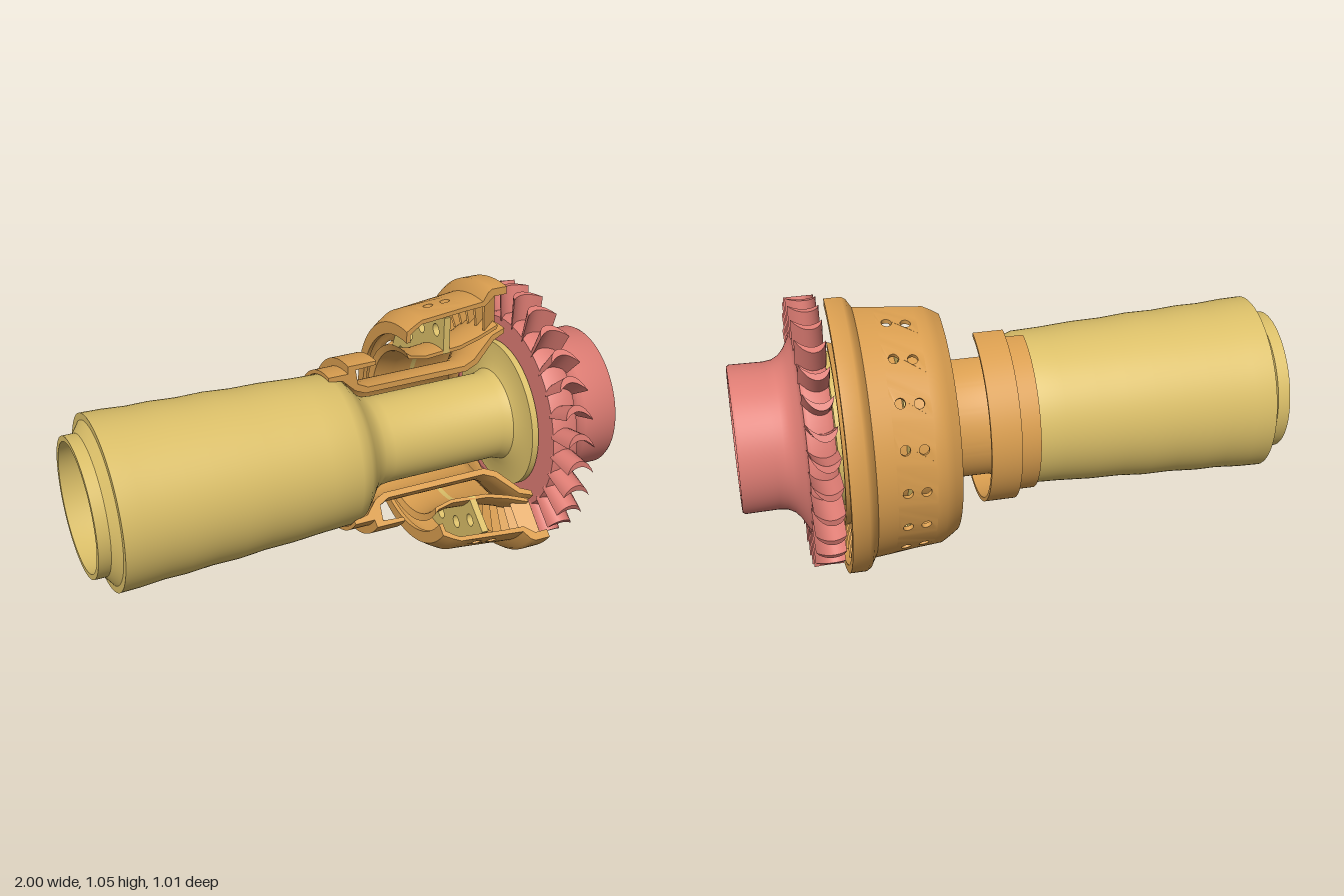
import * as THREE from 'three';
import { mergeGeometries, toCreasedNormals } from 'three/addons/utils/BufferGeometryUtils.js';

const rad = THREE.MathUtils.degToRad;
const ARC = 234; // cutaway shells run from the top, round the back, to low on the front

const material = (name, color) => {
  const m = new THREE.MeshStandardMaterial({ color, side: THREE.DoubleSide });
  m.name = name;
  return m;
};

// Revolve a closed [x, radius] outline about the x axis
function revolve(outline, arc = 360, segments = 96) {
  const points = [...outline, outline[0]].map(([x, r]) => new THREE.Vector2(r, x));
  const body = new THREE.LatheGeometry(points, segments, rad(arc === 360 ? 0 : 270 - arc), rad(arc));
  body.rotateZ(-Math.PI / 2);
  const parts = [body.toNonIndexed()];
  if (arc < 360) {
    // flat faces where the shell is cut open
    const shape = new THREE.Shape(outline.map(([x, r]) => new THREE.Vector2(x, r)));
    for (const a of [0, -arc]) {
      parts.push(new THREE.ShapeGeometry(shape).rotateX(rad(a)).toNonIndexed());
    }
  }
  return toCreasedNormals(mergeGeometries(parts), 0.6);
}

const circle = (x, y, r) => new THREE.Path().absarc(x, y, r, 0, Math.PI * 2, true);

export function createModel() {
  const yellow = material('yellow', 0xdcc069);
  const orange = material('orange', 0xdb9f50);
  const red = material('red', 0xdf7d74);
  const model = new THREE.Group();
  model.name = 'turbineEngine';
  const engine = new THREE.Group();
  engine.name = 'engine';
  engine.position.set(0, 0.53, 0.02);
  model.add(engine);

  const add = (name, geometry, mat, parent = engine) => {
    const mesh = new THREE.Mesh(geometry, mat);
    mesh.name = name;
    parent.add(mesh);
    return mesh;
  };

  // Hollow intake barrel narrowing into the central shaft and its rear flange
  add('barrelAndShaft', revolve([
    [-1, 0.255], [-0.955, 0.255], [-0.925, 0.295], [-0.925, 0.32], [-0.85, 0.318],
    [-0.76, 0.311], [-0.68, 0.311], [-0.58, 0.304], [-0.48, 0.304], [-0.38, 0.296],
    [-0.27, 0.294], [-0.15, 0.286], [-0.04, 0.282], [0, 0.268], [0.03, 0.235],
    [0.065, 0.19], [0.1, 0.168], [0.14, 0.163], [0.58, 0.163], [0.615, 0.175],
    [0.63, 0.21], [0.635, 0.28], [0.66, 0.28], [0.66, 0.163], [0.8, 0.163],
    [0.8, 0.15], [0.77, 0.127], [0.1, 0.127], [0.02, 0.17], [-0.05, 0.23],
    [-0.9, 0.245], [-1, 0.235],
  ]), yellow);

  // Inner liner: front collar, slim tube and flared rear end
  add('innerLiner', revolve([
    [-0.055, 0.3], [0.02, 0.3], [0.02, 0.33], [0.13, 0.33], [0.13, 0.315],
    [0.05, 0.31], [0.06, 0.25], [0.1, 0.23], [0.49, 0.23], [0.53, 0.25],
    [0.6, 0.335], [0.65, 0.355], [0.65, 0.335], [0.61, 0.315], [0.545, 0.23],
    [0.5, 0.207], [0.09, 0.207], [0.05, 0.225], [0, 0.275], [-0.055, 0.285],
  ], ARC), orange);

  // Outer casing: curled front lip, perforated band, stepped rear rim
  const casing = new THREE.Group();
  casing.name = 'outerCasing';
  engine.add(casing);
  add('casingLip', revolve([
    [0.25, 0.375], [0.25, 0.42], [0.28, 0.44], [0.31, 0.457], [0.345, 0.46],
    [0.345, 0.443], [0.31, 0.44], [0.285, 0.422], [0.265, 0.405], [0.265, 0.375],
  ], ARC), orange, casing);
  add('casingRim', revolve([
    [0.485, 0.474], [0.555, 0.481], [0.575, 0.515], [0.59, 0.525], [0.65, 0.525],
    [0.65, 0.495], [0.6, 0.495], [0.565, 0.462], [0.485, 0.457],
  ], ARC), orange, casing);

  // Perforated band, bent from flat cells with two holes each
  const cells = 12, step = ARC / cells, cellWidth = rad(step) * 0.46;
  const band = [];
  for (let i = 0; i < cells; i++) {
    const u0 = -(i + 1) * cellWidth;
    const outline = [];
    for (let j = 0; j <= 8; j++) outline.push(new THREE.Vector2(u0 + cellWidth * j / 8, 0.345));
    for (let j = 8; j >= 0; j--) outline.push(new THREE.Vector2(u0 + cellWidth * j / 8, 0.485));
    const shape = new THREE.Shape(outline);
    const mid = u0 + cellWidth * 0.33;
    shape.holes.push(circle(mid, 0.385, 0.018), circle(mid + 0.006, 0.45, 0.018));
    const cell = new THREE.ExtrudeGeometry(shape, { depth: 0.017, bevelEnabled: false, curveSegments: 10 });
    const p = cell.attributes.position;
    for (let k = 0; k < p.count; k++) {
      const a = p.getX(k) / 0.46, x = p.getY(k);
      const r = 0.443 + (x - 0.345) * 0.1 + p.getZ(k);
      p.setXYZ(k, x, r * Math.cos(a), r * Math.sin(a));
    }
    band.push(cell);
  }
  add('perforatedBand', toCreasedNormals(mergeGeometries(band), 0.6), orange, casing);

  // Inner wall of the burner
  add('burnerInnerWall', revolve([
    [0.25, 0.335], [0.27, 0.32], [0.33, 0.308], [0.47, 0.32], [0.55, 0.345],
    [0.62, 0.375], [0.62, 0.36], [0.55, 0.33], [0.47, 0.305], [0.33, 0.294], [0.26, 0.31],
  ], ARC), orange);

  // Burner plate with a ring of ports
  const plate = new THREE.Shape();
  plate.absarc(0, 0, 0.445, rad(90 - ARC), rad(90), false);
  plate.absarc(0, 0, 0.3, rad(90), rad(90 - ARC), true);
  for (let i = 0; i < cells; i++) {
    const a = rad(90 - (i + 0.5) * step);
    plate.holes.push(circle(0.375 * Math.cos(a), 0.375 * Math.sin(a), 0.024));
  }
  const plateGeo = new THREE.ExtrudeGeometry(plate, { depth: 0.025, bevelEnabled: false, curveSegments: 48 });
  add('burnerPlate', plateGeo.rotateY(Math.PI / 2).translate(0.4, 0, 0), yellow);

  // Guide vanes ahead of the rotor
  const vanes = new THREE.Group();
  vanes.name = 'guideVanes';
  engine.add(vanes);
  const vaneGeo = new THREE.BoxGeometry(0.07, 0.14, 0.008).rotateY(0.5).translate(0.6, 0.425, 0);
  for (let i = 0; i < 24; i++) {
    add('guideVane', vaneGeo, orange, vanes).rotation.x = -rad((i + 0.5) * ARC / 24);
  }

  // Rotor hub flowing into the exhaust nozzle
  add('rotorAndNozzle', revolve([
    [0.67, 0.23], [0.67, 0.37], [0.69, 0.38], [0.755, 0.38], [0.768, 0.372],
    [0.77, 0.35], [0.778, 0.335], [0.795, 0.305], [0.815, 0.283], [0.84, 0.27],
    [0.87, 0.266], [0.99, 0.268], [1, 0.262], [1, 0.238], [0.99, 0.232],
    [0.87, 0.23], [0.85, 0.212], [0.78, 0.21],
  ]), red);

  // Scalloped ring inside the nozzle
  const ring = new THREE.Shape().absarc(0, 0, 0.235, 0, Math.PI * 2, false);
  ring.holes.push(circle(0, 0, 0.162));
  for (let i = 0; i < 8; i++) {
    const a = i * Math.PI / 4;
    ring.holes.push(circle(0.2 * Math.cos(a), 0.2 * Math.sin(a), 0.016));
  }
  const ringGeo = new THREE.ExtrudeGeometry(ring, { depth: 0.02, bevelEnabled: false, curveSegments: 48 });
  add('nozzleInnerRing', ringGeo.rotateY(Math.PI / 2).translate(0.775, 0, 0), red);

  // Crescent turbine blades, narrower at the root
  const crescent = new THREE.Shape();
  crescent.moveTo(0.665, -0.02);
  crescent.bezierCurveTo(0.672, 0.035, 0.735, 0.06, 0.772, -0.037);
  crescent.bezierCurveTo(0.735, 0.012, 0.7, 0.015, 0.665, -0.02);
  let blade = new THREE.ExtrudeGeometry(crescent, { depth: 0.125, bevelEnabled: false, curveSegments: 10 });
  blade.rotateX(-Math.PI / 2).translate(0, 0.36, 0);
  const bp = blade.attributes.position;
  for (let k = 0; k < bp.count; k++) {
    if (bp.getY(k) < 0.4) bp.setZ(k, bp.getZ(k) * 0.75);
  }
  blade = toCreasedNormals(blade, 0.6);
  const blades = new THREE.Group();
  blades.name = 'turbineBlades';
  engine.add(blades);
  for (let i = 0; i < 29; i++) {
    add('turbineBlade', blade, red, blades).rotation.x = rad(2) + i * Math.PI * 2 / 29;
  }

  return model;
}
